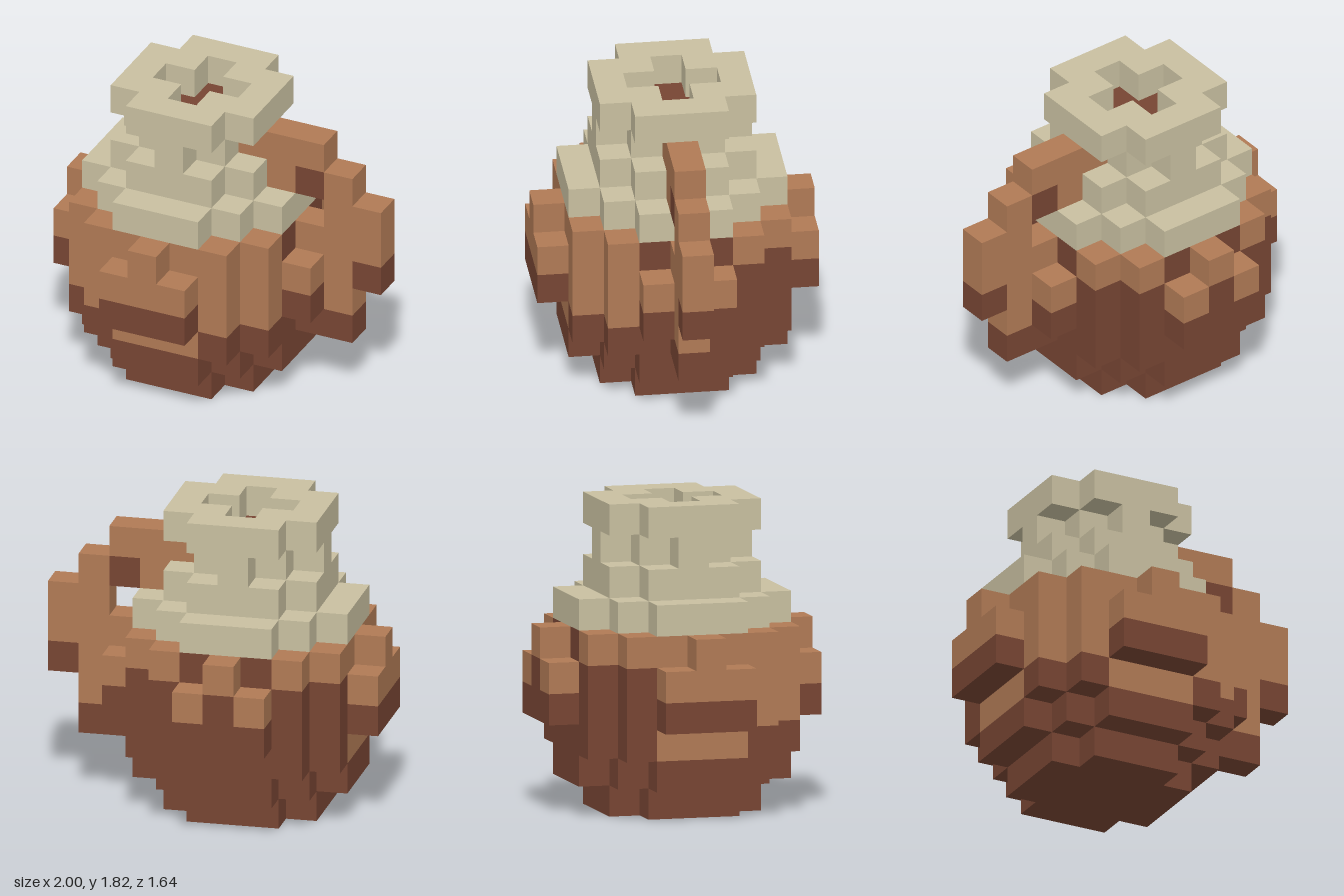
import * as THREE from 'three';
import { mergeGeometries } from 'three/addons/utils/BufferGeometryUtils.js';

// Block jug: cells (i, j, k) are measured from the jug's axis, j counts layers upward.
const U = 2 / 11;
const AXIS_X = -U;

const MATERIALS = {
  darkClay: new THREE.MeshStandardMaterial({ color: 0x774533 }),
  tanGlaze: new THREE.MeshStandardMaterial({ color: 0xb07a55 }),
  cream: new THREE.MeshStandardMaterial({ color: 0xc8bfa0 }),
};
for (const [name, m] of Object.entries(MATERIALS)) m.name = name;

const DIRECTIONS = [[1, 0, 0], [-1, 0, 0], [0, 1, 0], [0, -1, 0], [0, 0, 1], [0, 0, -1]];

// One outward square of a cell
function face(cell, dir) {
  const n = new THREE.Vector3(...dir);
  const g = new THREE.PlaneGeometry(U, U);
  g.applyQuaternion(new THREE.Quaternion().setFromUnitVectors(new THREE.Vector3(0, 0, 1), n));
  const [i, j, k] = cell;
  return g.translate(AXIS_X + (i + dir[0] / 2) * U, (j + 0.5 + dir[1] / 2) * U, (k + dir[2] / 2) * U);
}

export function createModel() {
  const cells = new Map();

  const put = (part, color, i, j, k) => cells.set([i, j, k].join(), { part, color, cell: [i, j, k] });

  // Block of cells; each range is [from, to]
  const fill = (part, color, [i0, i1], [j0, j1], [k0, k1]) => {
    for (let i = i0; i <= i1; i++)
      for (let j = j0; j <= j1; j++)
        for (let k = k0; k <= k1; k++) put(part, color, i, j, k);
  };

  // Stepped round layer: half-width r, corners cut where |i| + |k| > limit
  const disc = (part, color, j, r, limit) => {
    for (let i = -r; i <= r; i++)
      for (let k = -r; k <= r; k++)
        if (Math.abs(i) + Math.abs(k) <= limit) put(part, color, i, j, k);
  };

  // Body, widening from the foot
  disc('foot', 'darkClay', 0, 2, 3);
  disc('body', 'darkClay', 1, 3, 4);
  for (let j = 2; j <= 4; j++) disc('body', 'darkClay', j, 3, 5);
  disc('body', 'tanGlaze', 5, 3, 5);

  // Glaze running down the front and right-hand side
  fill('body', 'tanGlaze', [-1, 1], [2, 2], [3, 3]);
  fill('body', 'tanGlaze', [-3, -3], [2, 2], [-1, 1]);
  for (const s of [-1, 1]) {
    fill('body', 'tanGlaze', [2 * s, 2 * s], [3, 4], [3, 3]);
    fill('body', 'tanGlaze', [3 * s, 3 * s], [3, 4], [2, 2]);
    // Bare clay beside the handle and at the back
    put('body', 'darkClay', 3, 5, s);
    put('body', 'darkClay', s, 5, -3);
  }

  // Raised panels on the four sides, each with a peak in the middle
  for (const [dx, dz] of [[0, 1], [0, -1], [1, 0], [-1, 0]]) {
    for (let t = -1; t <= 1; t++) {
      const i = 4 * dx + t * dz, k = 4 * dz + t * dx;
      put('sidePanel', 'darkClay', i, 3, k);
      put('sidePanel', 'tanGlaze', i, 4, k);
    }
    put('sidePanel', 'tanGlaze', 4 * dx, 5, 4 * dz);
  }
  put('sidePanel', 'darkClay', 0, 4, -4);

  // Shoulder, neck and rim with a cross-shaped mouth
  disc('shoulder', 'cream', 6, 3, 4);
  disc('neck', 'cream', 7, 2, 3);
  disc('neck', 'cream', 8, 2, 2);
  disc('rim', 'cream', 9, 2, 3);
  disc('contents', 'darkClay', 8, 1, 1);
  for (const [i, k] of [[0, 0], [1, 0], [-1, 0], [0, 1], [0, -1]]) cells.delete([i, 9, k].join());

  // Handle, from the neck out and down to the body
  fill('handle', 'tanGlaze', [2, 4], [8, 8], [0, 0]);
  put('handle', 'tanGlaze', 3, 7, 0);
  put('handle', 'darkClay', 4, 7, 0);
  fill('handle', 'tanGlaze', [5, 5], [3, 7], [0, 0]);
  fill('handle', 'tanGlaze', [6, 6], [5, 6], [0, 0]);
  put('handle', 'darkClay', 6, 4, 0);
  fill('handle', 'darkClay', [4, 5], [2, 2], [0, 0]);

  // Collect the exposed faces of each part by colour
  const parts = {};
  for (const { part, color, cell } of cells.values()) {
    for (const d of DIRECTIONS) {
      if (cells.has(cell.map((c, a) => c + d[a]).join())) continue;
      parts[part] ??= {};
      (parts[part][color] ??= []).push(face(cell, d));
    }
  }

  const model = new THREE.Group();
  model.name = 'jug';
  for (const [part, colors] of Object.entries(parts)) {
    const group = new THREE.Group();
    group.name = part;
    for (const [color, faces] of Object.entries(colors)) {
      const mesh = new THREE.Mesh(mergeGeometries(faces), MATERIALS[color]);
      mesh.name = `${part} ${color}`;
      group.add(mesh);
    }
    model.add(group);
  }
  return model;
}
